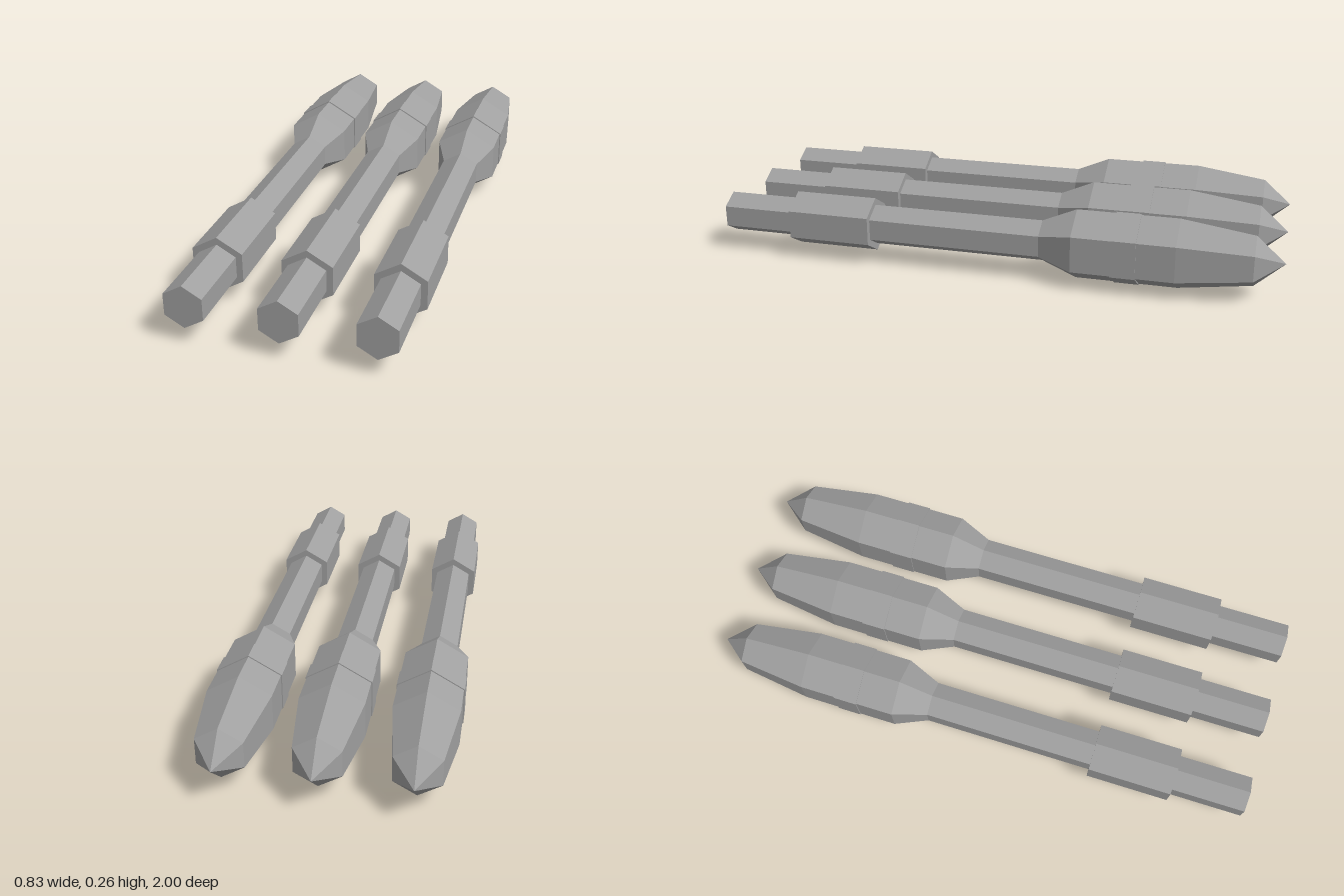
import * as THREE from 'three';

const SIDES = 6;
const AXIS_Y = 0.131;   // height of each bolt's axis
const SPACING = 0.304;

const steel = new THREE.MeshStandardMaterial({ color: 0xa0a0a0, flatShading: true });
steel.name = 'grey steel';

// Hexagonal solid along z; profile is [radius, z] from front (+z) to back (-z).
function hexSolid(name, profile) {
  const points = profile.map(([r, z]) => new THREE.Vector2(r, -z));
  const geometry = new THREE.LatheGeometry(points, SIDES);
  geometry.rotateX(-Math.PI / 2); // a ridge ends up on top
  const mesh = new THREE.Mesh(geometry, steel);
  mesh.name = name;
  return mesh;
}

// Closed straight hexagonal sleeve between two z positions.
const hexSleeve = (name, r, zFront, zBack) =>
  hexSolid(name, [[0, zFront], [r, zFront], [r, zBack], [0, zBack]]);

function createBolt() {
  const bolt = new THREE.Group();
  bolt.add(
    // Shaft flaring into the pointed head
    hexSolid('shaft', [[0, 1], [0.0735, 1], [0.0735, -0.18]]),
    hexSolid('head', [
      [0.0735, -0.18], [0.125, -0.3], [0.125, -0.65], [0.089, -0.9], [0, -1],
    ]),
    // Raised rings
    hexSleeve('collar', 0.0985, 0.735, 0.435),
    hexSleeve('headBand', 0.129, -0.435, -0.52),
  );
  return bolt;
}

export function createModel() {
  const model = new THREE.Group();
  model.name = 'boltSet';
  ['rightBolt', 'middleBolt', 'leftBolt'].forEach((name, i) => {
    const bolt = createBolt();
    bolt.name = name;
    bolt.position.set((i - 1) * SPACING, AXIS_Y, 0);
    model.add(bolt);
  });
  return model;
}
